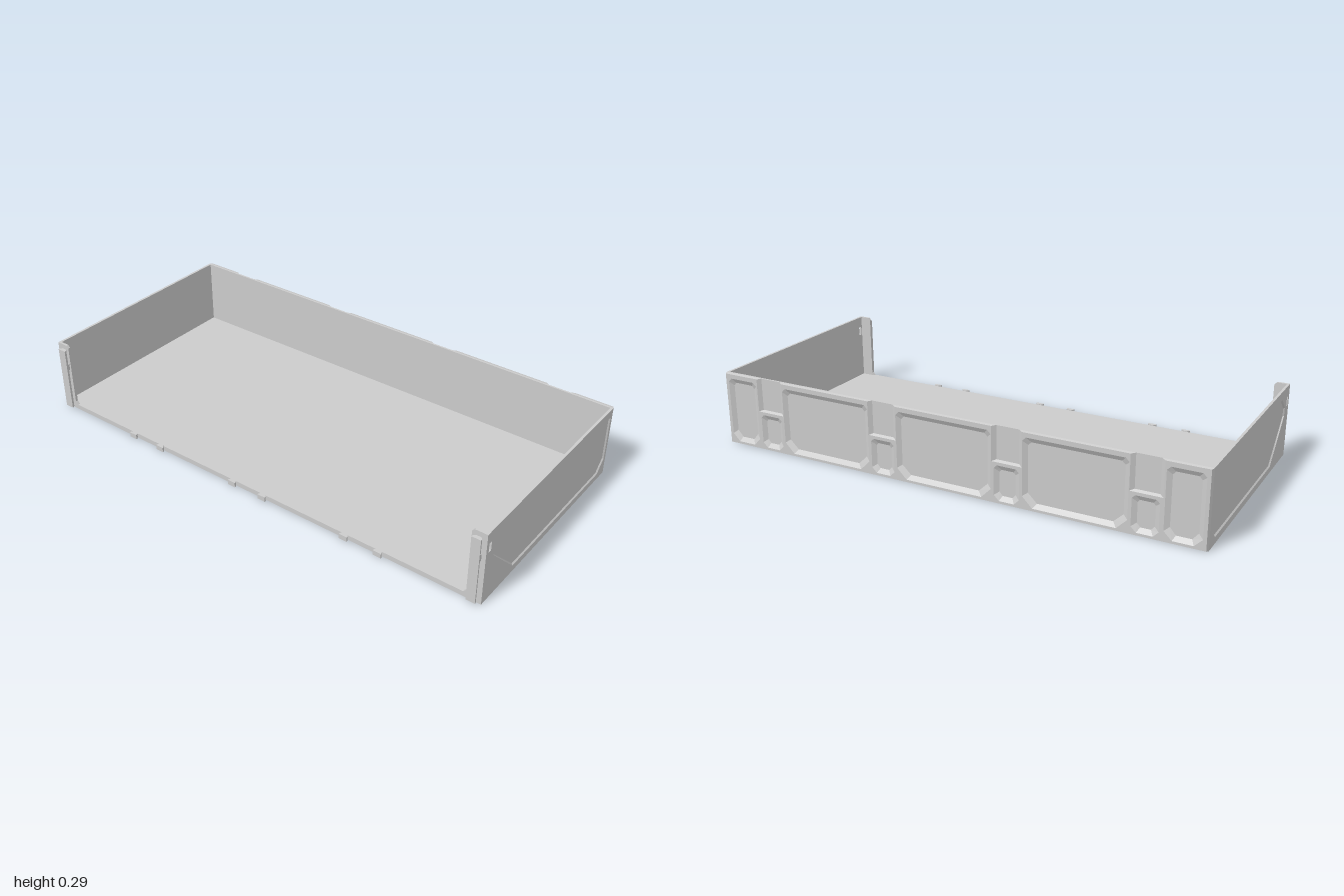
import * as THREE from 'three';
import { mergeGeometries } from 'three/addons/utils/BufferGeometryUtils.js';

const material = new THREE.MeshStandardMaterial({ color: 0xcccccc, flatShading: true, side: THREE.DoubleSide });

function mesh(name, geometry) {
  const m = new THREE.Mesh(geometry, material);
  m.name = name;
  return m;
}

function box(name, w, h, d, x, y, z) {
  return mesh(name, new THREE.BoxGeometry(w, h, d).translate(x, y, z));
}

const toShape = (pts) => new THREE.Shape(pts.map(([x, y]) => new THREE.Vector2(x, y)));

// Reverse the corner order of every triangle
function turnRound(g) {
  const p = g.attributes.position.array;
  for (let i = 0; i < p.length; i += 9) {
    for (let k = 0; k < 3; k++) [p[i + k], p[i + 3 + k]] = [p[i + 3 + k], p[i + k]];
  }
  g.computeVertexNormals();
  return g;
}

// Copy of a part on the other side of x = 0
function mirrored(part) {
  const g = part.geometry.index ? part.geometry.toNonIndexed() : part.geometry.clone();
  return mesh(part.name, turnRound(g.scale(-1, 1, 1)));
}

// Flat face with holes at depth z
function face(pts, holes, z) {
  const shape = toShape(pts);
  shape.holes = holes.map(toShape);
  const g = new THREE.ShapeGeometry(shape).toNonIndexed();
  g.translate(0, 0, z);
  g.deleteAttribute('uv');
  return g;
}

// Wall between two matching loops; inward turns it into the wall of a hole
function ring(top, zTop, base, zBase, inward = false) {
  const p = [];
  top.forEach((t, i) => {
    const j = (i + 1) % top.length;
    const a = [...base[i], zBase], b = [...base[j], zBase];
    const c = [...top[j], zTop], d = [...t, zTop];
    if (inward) p.push(...a, ...c, ...b, ...a, ...d, ...c);
    else p.push(...a, ...b, ...c, ...a, ...c, ...d);
  });
  const g = new THREE.BufferGeometry();
  g.setAttribute('position', new THREE.Float32BufferAttribute(p, 3));
  g.computeVertexNormals();
  return g;
}

// Shrink a convex loop towards the middle of its bounds
function inset(pts, amount) {
  const b = new THREE.Box2().setFromPoints(pts.map(([x, y]) => new THREE.Vector2(x, y)));
  const c = b.getCenter(new THREE.Vector2()), s = b.getSize(new THREE.Vector2());
  return pts.map(([x, y]) => [
    c.x + (x - c.x) * (1 - (2 * amount) / s.x),
    c.y + (y - c.y) * (1 - (2 * amount) / s.y),
  ]);
}

// Panel facing +z with sloped pockets and through slots
function panel(outline, base, pockets, slope, slots, depth, thick) {
  const parts = [
    face(outline, [...pockets, ...slots], 0),
    ring(outline, 0, base, -thick),
    turnRound(face(base, slots, -thick)),
  ];
  for (const p of pockets) {
    const floor = inset(p, slope);
    parts.push(ring(p, 0, floor, -depth, true), face(floor, [], -depth));
  }
  for (const s of slots) parts.push(ring(s, 0, s, -thick, true));
  return mergeGeometries(parts);
}

const rect = (x0, y0, x1, y1) => [[x0, y0], [x1, y0], [x1, y1], [x0, y1]];

// Rectangle with cut lower corners (b) and upper corners (t)
const cutRect = (x0, y0, x1, y1, b, t) => [
  [x0 + b, y0], [x1 - b, y0], [x1, y0 + b], [x1, y1 - t],
  [x1 - t, y1], [x0 + t, y1], [x0, y1 - t], [x0, y0 + b],
];

const notchX = [0.78, 0.26, -0.26, -0.78];

// Back outline with four notches open at the top
function backOutline(edge, half, bottom) {
  const low = edge / 2, high = 0.295 - edge / 2;
  const pts = [[-1 + edge, low], [1 - edge, low], [1 - edge, high]];
  for (const x of notchX) {
    pts.push([x + half, high], [x + half, bottom], [x - half, bottom], [x - half, high]);
  }
  pts.push([-1 + edge, high]);
  return pts;
}

// Dovetail rail standing along y on the front face
function dovetail(name, x, y0, y1, neck, head) {
  const shape = toShape([[-neck, 0], [neck, 0], [head, -0.009], [head, -0.015], [-head, -0.015], [-head, -0.009]]);
  const g = new THREE.ExtrudeGeometry(shape, { depth: y1 - y0, bevelEnabled: false });
  return mesh(name, g.rotateX(-Math.PI / 2).translate(x, y0, 0.455));
}

function sideParts() {
  // Wall with a recessed panel and a small slot near the front
  const outline = rect(-0.455, 0, 0.452, 0.295);
  const recess = [
    [-0.25, 0.025], [0.4, 0.025], [0.445, 0.072], [0.445, 0.26],
    [-0.357, 0.26], [-0.405, 0.213], [-0.405, 0.18],
  ];
  const wall = panel(outline, outline, [recess], 0.005, [rect(-0.44, 0.213, -0.424, 0.25)], 0.005, 0.01);
  wall.rotateY(Math.PI / 2).translate(1, 0, 0);

  // Front corner flange
  const flange = toShape([
    [0.991, 0.018], [0.991, 0.295], [0.952, 0.295], [0.942, 0.285], [0.942, 0.032], [0.928, 0.018],
  ]);
  const post = new THREE.ExtrudeGeometry(flange, { depth: 0.01, bevelEnabled: false });

  // Upright rail with a small catch beside its neck
  return [
    mesh('sideWall', wall),
    mesh('frontFlange', post.translate(0, 0, 0.445)),
    dovetail('cornerRail', 0.967, 0.006, 0.275, 0.01, 0.018),
    box('railCatch', 0.034, 0.028, 0.012, 0.967, 0.196, 0.461),
  ];
}

export function createModel() {
  const model = new THREE.Group();
  model.name = 'openFrontTray';

  // Floor
  model.add(box('floor', 1.982, 0.02, 0.905, 0, 0.01, 0.0025));

  // Back wall with pockets
  const pockets = [-0.52, 0, 0.52].map((x) => cutRect(x - 0.198, 0.012, x + 0.198, 0.275, 0.04, 0.014));
  for (const s of [-1, 1]) {
    pockets.push(cutRect(s * 0.914 - 0.068, 0.012, s * 0.914 + 0.068, 0.275, 0.03, 0.014));
  }
  for (const x of notchX) pockets.push(cutRect(x - 0.05, 0.012, x + 0.05, 0.148, 0.02, 0.012));
  const back = panel(backOutline(0.005, 0.06, 0.16), backOutline(0, 0.045, 0.166), pockets, 0.018, [], 0.0105, 0.011);
  model.add(mesh('backWall', back.rotateY(Math.PI).translate(0, 0, -0.47)));
  model.add(box('backWallInner', 2, 0.295, 0.008, 0, 0.1475, -0.455));

  // Mirrored side walls
  const left = new THREE.Group(), right = new THREE.Group();
  left.name = 'leftSide';
  right.name = 'rightSide';
  for (const part of sideParts()) {
    left.add(part);
    right.add(mirrored(part));
  }
  model.add(left, right);

  // Paired clips along the front edge
  for (const c of [-0.52, 0, 0.52]) {
    for (const s of [-1, 1]) model.add(dovetail('frontClip', c + s * 0.073, 0.003, 0.023, 0.009, 0.017));
  }
  return model;
}
